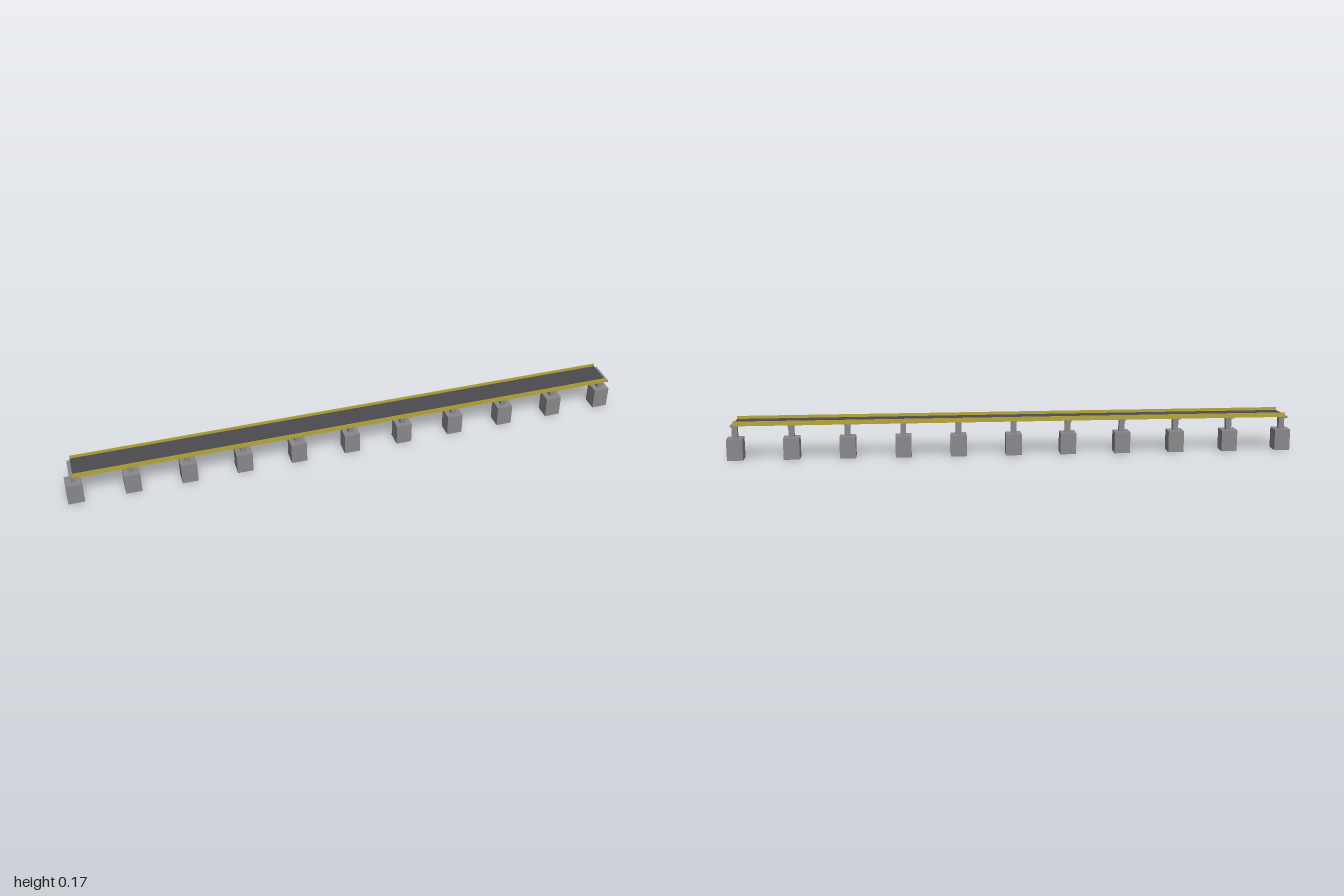
import * as THREE from 'three';

const deckMat = new THREE.MeshStandardMaterial({ color: 0x4c4c50 });
const railMat = new THREE.MeshStandardMaterial({ color: 0xb5a535 });
const pierMat = new THREE.MeshStandardMaterial({ color: 0x88888c });

// Box spanning heights y0..y1, centred at z
function slab(name, mat, length, y0, y1, width, z = 0) {
  const mesh = new THREE.Mesh(new THREE.BoxGeometry(length, y1 - y0, width), mat);
  mesh.name = name;
  mesh.position.set(0, (y0 + y1) / 2, z);
  return mesh;
}

export function createModel() {
  const bridge = new THREE.Group();
  bridge.name = 'bridge';

  // Road deck with a raised kerb along each side
  const length = 2.262, width = 0.12, kerb = 0.003;
  bridge.add(slab('deck', deckMat, length, 0.148, 0.155, width - 2 * kerb));
  for (const side of [-1, 1]) {
    bridge.add(slab(side > 0 ? 'frontKerb' : 'backKerb', railMat,
      length, 0.148, 0.167, kerb, side * (width - kerb) / 2));
  }

  // Evenly spaced piers: footing block, column and crossbeam
  const count = 11, reach = 1.134;
  for (let i = 0; i < count; i++) {
    const pier = new THREE.Group();
    pier.name = 'pier' + (i + 1);
    pier.position.x = -reach + (2 * reach * i) / (count - 1);
    pier.add(
      slab('footing', pierMat, 0.065, 0, 0.088, 0.065),
      slab('column', pierMat, 0.023, 0.088, 0.143, 0.023),
      slab('crossbeam', pierMat, 0.022, 0.143, 0.1485, 0.11),
    );
    bridge.add(pier);
  }

  // The bridge runs diagonally
  bridge.rotation.y = Math.atan2(0.61, 0.9525);
  const model = new THREE.Group();
  model.name = 'model';
  model.add(bridge);
  return model;
}
